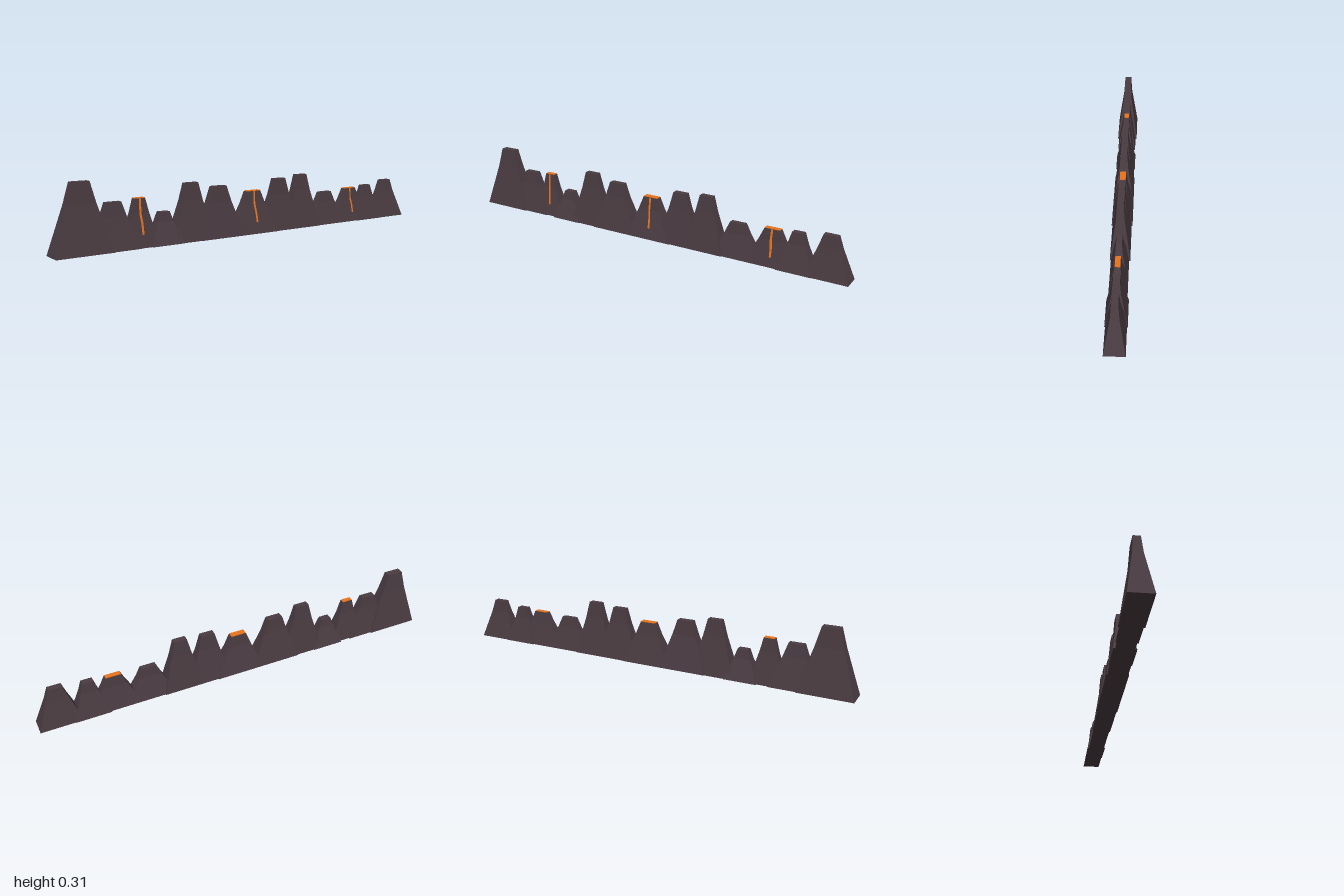
import * as THREE from 'three';

// Peak profile: [height fraction, width fraction, depth fraction]
const PROFILE = [[0, 1, 1], [0.7, 0.5, 0.42], [1, 0.31, 0.31]];

// Each peak: [centre x, height, half base width, half base depth, is volcano]
const PEAKS = [
  [-0.87, 0.308, 0.13, 0.053], [-0.722, 0.21, 0.113, 0.047],
  [-0.598, 0.216, 0.083, 0.041, true], [-0.477, 0.147, 0.08, 0.05],
  [-0.335, 0.267, 0.107, 0.046], [-0.185, 0.241, 0.12, 0.05],
  [0.01, 0.203, 0.123, 0.05, true], [0.168, 0.254, 0.106, 0.046],
  [0.305, 0.265, 0.1, 0.046], [0.466, 0.166, 0.116, 0.041],
  [0.635, 0.172, 0.12, 0.041, true], [0.753, 0.181, 0.084, 0.047],
  [0.898, 0.2, 0.102, 0.044],
];

// Tapered block with a kink part way up
function peakGeometry(h, w, d) {
  const box = new THREE.BoxGeometry(2, 2, 2, 1, 2, 1);
  const p = box.attributes.position;
  for (let i = 0; i < p.count; i++) {
    const [t, sx, sz] = PROFILE[Math.round(p.getY(i)) + 1];
    p.setXYZ(i, p.getX(i) * w * sx, t * h, p.getZ(i) * d * sz);
  }
  const flat = box.toNonIndexed();
  flat.computeVertexNormals();
  return flat;
}

// Depth fraction of the front slope at a height fraction
function slopeDepth(t) {
  const [a, b] = t < PROFILE[1][0] ? [PROFILE[0], PROFILE[1]] : [PROFILE[1], PROFILE[2]];
  return THREE.MathUtils.lerp(a[2], b[2], (t - a[0]) / (b[0] - a[0]));
}

// Narrow, slightly crooked ribbon running down the front slope
function streamGeometry(h, d) {
  const path = [[1, 0], [0.7, -0.002], [0.5, 0.003], [0.27, 0.004]];
  const pos = [], index = [];
  path.forEach(([t, x], i) => {
    const z = slopeDepth(t) * d + 0.0015;
    pos.push(x - 0.005, t * h, z, x + 0.005, t * h, z);
    if (i) {
      const k = i * 2;
      index.push(k - 2, k, k - 1, k - 1, k, k + 1);
    }
  });
  const g = new THREE.BufferGeometry();
  g.setAttribute('position', new THREE.Float32BufferAttribute(pos, 3));
  g.setIndex(index);
  g.computeVertexNormals();
  return g;
}

export function createModel() {
  const rock = new THREE.MeshStandardMaterial({ color: 0x4a3c42 });
  rock.name = 'dark rock';
  const lava = new THREE.MeshStandardMaterial({ color: 0xe8741e, side: THREE.DoubleSide });
  lava.name = 'orange lava';

  const model = new THREE.Group();
  model.name = 'mountainRidge';
  const add = (parent, name, geometry, material) => {
    const mesh = new THREE.Mesh(geometry, material);
    mesh.name = name;
    parent.add(mesh);
    return mesh;
  };

  PEAKS.forEach(([x, h, w, d, volcano], i) => {
    const peak = new THREE.Group();
    peak.name = (volcano ? 'volcano' : 'mountain') + (i + 1);
    peak.position.x = x;
    model.add(peak);
    add(peak, 'rockBody', peakGeometry(h, w, d), rock);
    if (volcano) {
      // Glowing crater plate and the stream running from it
      const crater = new THREE.BoxGeometry(w * 0.6, 0.004, d * 0.56);
      add(peak, 'lavaCrater', crater, lava).position.y = h + 0.001;
      add(peak, 'lavaStream', streamGeometry(h, d), lava);
    }
  });
  return model;
}
